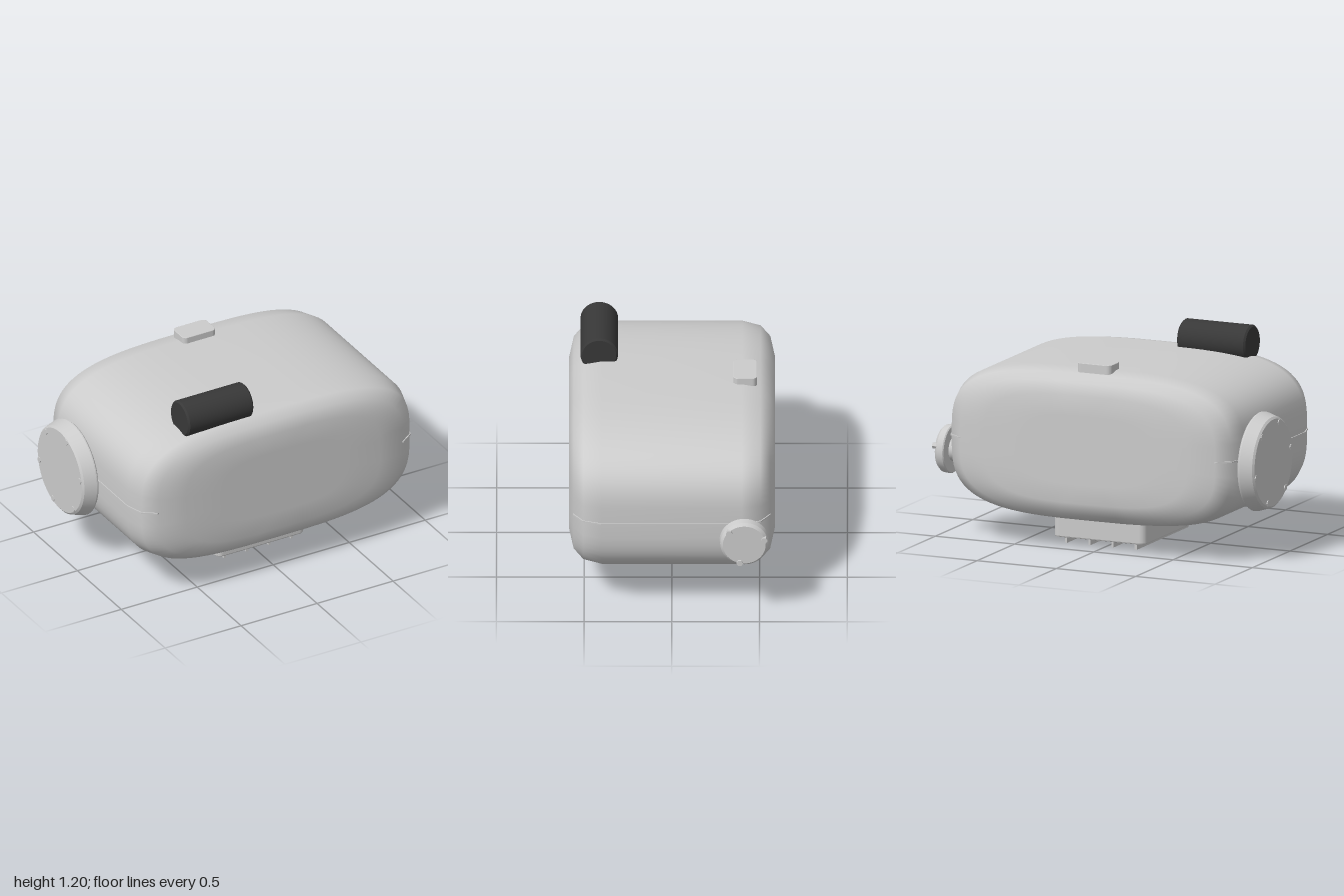
import * as THREE from 'three';

const grey = new THREE.MeshStandardMaterial({ color: 0xcccccc });
const black = new THREE.MeshStandardMaterial({ color: 0x383838 });
const CX = 0.013, CY = 0.606; // centre of the body

function add(parent, name, geometry, material = grey) {
  const mesh = new THREE.Mesh(geometry, material);
  mesh.name = name;
  parent.add(mesh);
  return mesh;
}

// Outline of the body ends: z, half width, half height
const RINGS = [[0.4, 0.914, 0.446], [0.505, 0.882, 0.426], [0.56, 0.805, 0.385], [0.587, 0.64, 0.315]];

// Body: superellipse cross-sections along z
function bodyGeometry() {
  const front = [...RINGS, [0.587, 0.4, 0.2], [0.587, 0.0002, 0.0002]];
  const rings = [...front.map(([z, w, h]) => [-z, w, h]).reverse(), ...front];
  const n = 80, power = 2 / 3.4, pos = [], idx = [];
  const bend = (v) => Math.sign(v) * Math.abs(v) ** power;
  rings.forEach(([z, w, h], i) => {
    for (let j = 0; j < n; j++) {
      const a = (j / n) * Math.PI * 2;
      pos.push(CX + w * bend(Math.cos(a)), CY + h * bend(Math.sin(a)), z);
      if (i < rings.length - 1) {
        const p = i * n + j, q = i * n + (j + 1) % n;
        idx.push(p, q, q + n, p, q + n, p + n);
      }
    }
  });
  const g = new THREE.BufferGeometry();
  g.setAttribute('position', new THREE.Float32BufferAttribute(pos, 3));
  g.setIndex(idx);
  g.computeVertexNormals();
  return g;
}

// Upright slab with rounded corners and a small bevel
function slab(x0, x1, y0, y1, z0, z1, r, bevel) {
  const w = (x1 - x0) / 2 - bevel, d = (z1 - z0) / 2 - bevel;
  const s = new THREE.Shape();
  s.moveTo(w, -d + r);
  s.absarc(w - r, d - r, r, 0, Math.PI / 2);
  s.absarc(-w + r, d - r, r, Math.PI / 2, Math.PI);
  s.absarc(-w + r, -d + r, r, Math.PI, Math.PI * 1.5);
  s.absarc(w - r, -d + r, r, Math.PI * 1.5, Math.PI * 2);
  const g = new THREE.ExtrudeGeometry(s, {
    depth: y1 - y0 - 2 * bevel, bevelSize: bevel, bevelThickness: bevel, bevelSegments: 2, curveSegments: 6,
  });
  return g.rotateX(-Math.PI / 2).translate((x0 + x1) / 2, y0 + bevel, (z0 + z1) / 2);
}

// Turned part; points repeated at corners keep the edges crisp
function turned(profile, segments = 48) {
  const pts = profile.flatMap(([r, y], i) => {
    const p = new THREE.Vector2(r, y);
    return i > 0 && i < profile.length - 1 ? [p, p.clone()] : [p];
  });
  return new THREE.LatheGeometry(pts, segments);
}

// Bolted cover on a side wall, built upright and then laid outwards
function cover(name, profile, boltSpots, boltRadius, boltBase, boltTop) {
  const g = new THREE.Group();
  g.name = name;
  add(g, name + 'Disc', turned(profile));
  for (const [u, v] of boltSpots) {
    const bolt = new THREE.CylinderGeometry(boltRadius, boltRadius, boltTop - boltBase, 6).toNonIndexed();
    bolt.computeVertexNormals();
    add(g, name + 'Bolt', bolt).position.set(u, (boltBase + boltTop) / 2, v);
  }
  return g;
}

export function createModel() {
  const model = new THREE.Group();
  model.name = 'tank';
  add(model, 'body', bodyGeometry());

  // Thin seam showing at both ends
  const quarter = RINGS.slice(0, 3).map(([z, w]) => [w + 0.005, z + 0.004]);
  quarter.push([0.77, 0.55]);
  const flip = (sx, sz) => quarter.map(([x, z]) => new THREE.Vector2(CX + sx * x, sz * z));
  const outline = [...flip(1, 1), ...flip(-1, 1).reverse(), ...flip(-1, -1), ...flip(1, -1).reverse()];
  const seam = new THREE.ExtrudeGeometry(new THREE.Shape(outline), { depth: 0.008, bevelEnabled: false });
  add(model, 'seam', seam.rotateX(-Math.PI / 2).translate(0, CY - 0.006, 0));

  // Roller on top
  const R = 0.107, L = 0.215, b = 0.01;
  const roller = add(model, 'roller', turned(
    [[0, -L], [R - b, -L], [R, -L + b], [R, L - b], [R - b, L], [0, L]]), black);
  roller.rotation.z = Math.PI / 2;
  roller.position.set(-0.353, 1.09, 0.415);

  // Top pad, base and its fins
  add(model, 'topPad', slab(-0.097, 0.119, 1.0, 1.09, -0.485, -0.35, 0.025, 0.003));
  add(model, 'base', slab(-0.278, 0.302, 0.046, 0.25, -0.412, 0.347, 0.03, 0.008));
  for (const x of [-0.208, -0.061, 0.085, 0.233]) {
    add(model, 'fin', new THREE.BoxGeometry(0.014, 0.05, 0.69)).position.set(x, 0.034, -0.035);
  }
  const drain = new THREE.CylinderGeometry(0.036, 0.036, 0.06, 6).toNonIndexed();
  drain.computeVertexNormals();
  add(model, 'drainBolt', drain).position.set(0.012, 0.03, 0.208);

  // Large cover on the right side
  const ring = Array.from({ length: 6 }, (_, i) => {
    const a = 0.2 + i * Math.PI / 3;
    return [0.235 * Math.sin(a), 0.235 * Math.cos(a)];
  });
  const large = cover('largeCover', [[0, -0.1], [0.12, -0.1], [0.12, 0], [0.278, 0], [0.286, 0.008],
    [0.286, 0.015], [0.264, 0.085], [0.252, 0.095], [0, 0.095]], ring, 0.018, 0.07, 0.1);
  large.rotation.z = Math.PI / 2;
  large.position.set(-0.9, 0.556, -0.21);

  // Small cover on the left side: turned so local x runs down
  const small = cover('smallCover', [[0, -0.08], [0.07, -0.08], [0.07, 0], [0.135, 0], [0.141, 0.006],
    [0.137, 0.045], [0.122, 0.062], [0, 0.062]],
  [[-0.08, 0.086], [-0.035, -0.114], [0.115, 0.026]], 0.019, 0.03, 0.075);
  small.rotation.z = -Math.PI / 2;
  small.position.set(0.925, 0.5, -0.413);

  model.add(large, small);
  return model;
}
